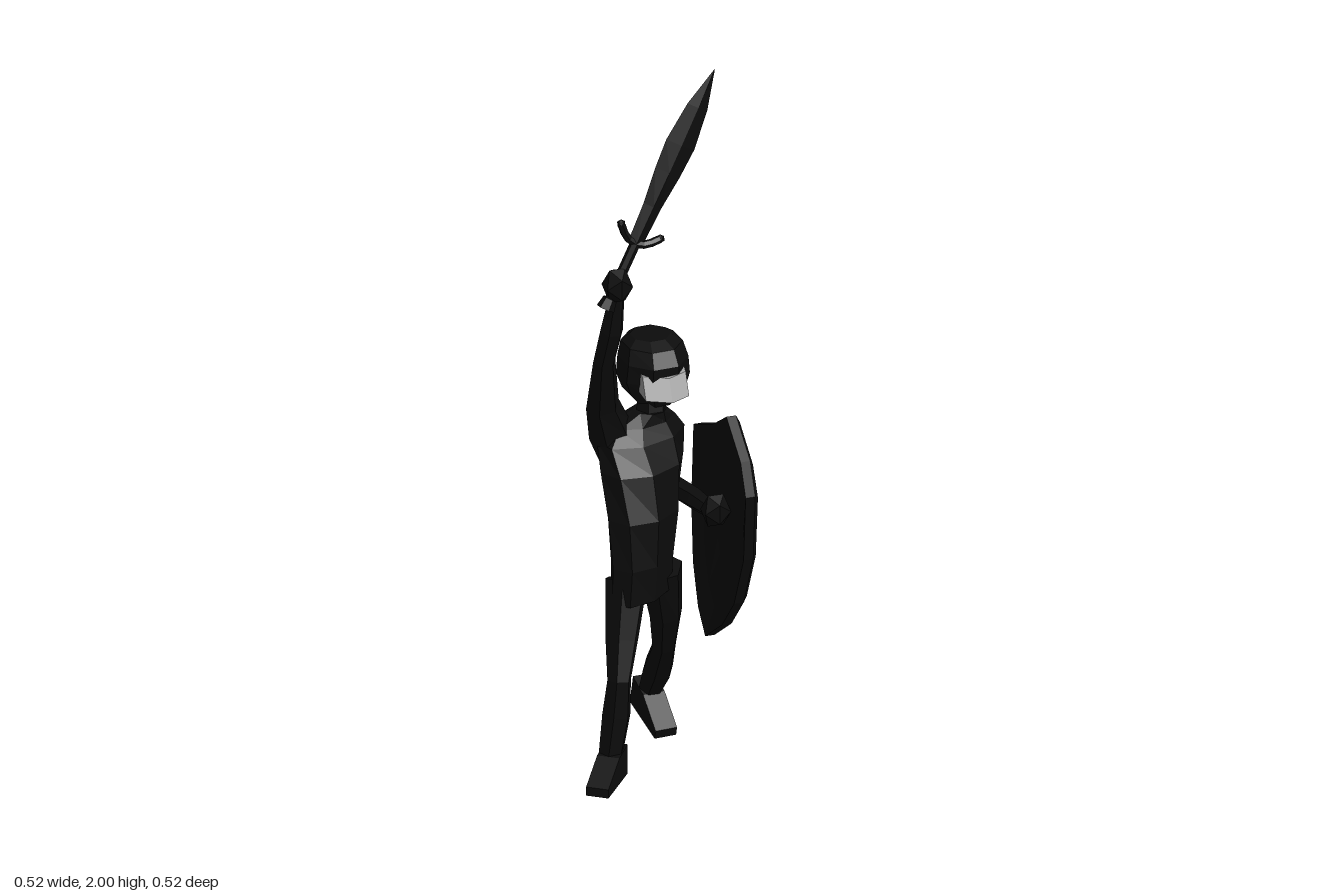
import * as THREE from 'three';

const V = (x, y, z) => new THREE.Vector3(x, y, z);
const dark = new THREE.MeshStandardMaterial({ color: 0x0c0c0c, flatShading: true });
const grey = new THREE.MeshStandardMaterial({ color: 0xa0a0a0, flatShading: true });

function part(name, geometry, material = dark) {
  const m = new THREE.Mesh(geometry, material);
  m.name = name;
  return m;
}

// Closed skin through a stack of rings, with both ends capped
function loft(rings) {
  const n = rings[0].length;
  const hub = (r) => {
    const c = r.reduce((s, p) => s.add(p), V(0, 0, 0)).divideScalar(n);
    return r.map(() => c);
  };
  const all = [hub(rings[0]), ...rings, hub(rings[rings.length - 1])];
  const pts = [];
  for (let k = 0; k < all.length - 1; k++) {
    for (let i = 0; i < n; i++) {
      const j = (i + 1) % n;
      const a = all[k][i], b = all[k][j], c = all[k + 1][j], d = all[k + 1][i];
      if (k < all.length - 2) pts.push(a, d, c);
      if (k > 0) pts.push(a, c, b);
      if (k === all.length - 2) pts.push(a, d, b);
    }
  }
  const g = new THREE.BufferGeometry().setFromPoints(pts);
  g.computeVertexNormals();
  return g;
}

// Horizontal elliptical ring, turned by yaw
function ring(cx, cy, cz, a, b, yaw = 0, n = 8, offset = Math.PI / 8) {
  return Array.from({ length: n }, (_, i) => {
    const t = (i / n) * Math.PI * 2 + offset;
    const u = a * Math.cos(t), w = b * Math.sin(t);
    return V(cx + u * Math.cos(yaw) + w * Math.sin(yaw), cy, cz - u * Math.sin(yaw) + w * Math.cos(yaw));
  });
}

// Limb through stations [x, y, z, radius], listed from the far end to the body
function limb(stations, n = 6) {
  const c = stations.map((s) => V(s[0], s[1], s[2]));
  return loft(stations.map((s, k) => {
    const dir = c[Math.min(k + 1, c.length - 1)].clone().sub(c[Math.max(k - 1, 0)]).normalize();
    const q = new THREE.Quaternion().setFromUnitVectors(V(0, 1, 0), dir);
    return ring(0, 0, 0, s[3], s[3], 0, n, 0).map((p) => p.applyQuaternion(q).add(c[k]));
  }));
}

function foot(name, heel, yaw, pitch) {
  const s = new THREE.Shape([[0, 0], [0.165, 0], [0.165, 0.025], [0.07, 0.075], [0, 0.085]]
    .map(([x, y]) => new THREE.Vector2(x, y)));
  const g = new THREE.ExtrudeGeometry(s, { depth: 0.062, bevelEnabled: false }).translate(0, 0, -0.031);
  const m = part(name, g);
  m.position.set(...heel);
  m.rotation.set(0, yaw, pitch);
  return m;
}

function fist(name, x, y, z, sx, sy, sz) {
  const m = part(name, new THREE.IcosahedronGeometry(1, 0));
  m.position.set(x, y, z);
  m.scale.set(sx, sy, sz);
  return m;
}

function createSword() {
  const sword = new THREE.Group();
  sword.name = 'sword';
  // Leaf-shaped blade with a diamond section
  const blade = [[0.19, 0.022, 0.01], [0.3, 0.027, 0.011], [0.4, 0.039, 0.012], [0.48, 0.044, 0.011],
    [0.59, 0.031, 0.008], [0.7, 0.001, 0.001]];
  sword.add(part('blade', loft(blade.map(([y, a, b]) => ring(0, y, 0, a, b, 0, 4, 0)))));
  const curve = new THREE.QuadraticBezierCurve3(V(-0.06, 0.225, 0), V(0, 0.155, 0), V(0.06, 0.225, 0));
  sword.add(part('guard', new THREE.TubeGeometry(curve, 6, 0.011, 6, false)));
  for (const [x, s] of [[-0.06, -1], [0.06, 1]]) {
    const tip = part('guardTip', new THREE.IcosahedronGeometry(0.012, 0));
    tip.position.set(x + s * 0.002, 0.227, 0);
    sword.add(tip);
  }
  sword.add(part('grip', new THREE.CylinderGeometry(0.014, 0.014, 0.18, 6).translate(0, 0.1, 0)));
  sword.add(part('pommel', new THREE.CylinderGeometry(0.019, 0.025, 0.03, 6).translate(0, 0.015, 0)));
  // Aim from pommel to tip
  const base = V(-0.18, 1.39, 0.155), tip = V(0.155, 2, 0.075);
  sword.position.copy(base);
  sword.quaternion.setFromUnitVectors(V(0, 1, 0), tip.sub(base).normalize());
  return sword;
}

function createShield() {
  // Outline as [z, y], from the bottom point round by the front
  const outline = [[-0.01, 0.31], [0.08, 0.38], [0.15, 0.47], [0.205, 0.62], [0.225, 0.81], [0.13, 0.87],
    [0.01, 0.95], [-0.1, 0.88], [-0.2, 0.84], [-0.205, 0.62], [-0.16, 0.46], [-0.09, 0.36]];
  // Shell domed in both directions
  const layer = (scale, depth) => outline.map(([z, y]) => {
    const pz = 0.01 + (z - 0.01) * scale, py = 0.65 + (y - 0.65) * scale;
    return V(0.26 - depth - 0.7 * pz * pz - 0.34 * (py - 0.75) ** 2, py, pz);
  });
  const shell = loft([layer(0.4, 0.035), layer(0.75, 0.035), layer(1, 0.035), layer(1, 0.008),
    layer(0.93, 0), layer(0.6, 0), layer(0.3, 0)]);
  return part('shield', shell);
}

export function createModel() {
  const model = new THREE.Group();
  model.name = 'swordsman';

  // Twisted torso: [x, y, z, half width, half depth, yaw]
  const torso = [[-0.04, 0.5, 0.045, 0.125, 0.07, 0.75], [-0.038, 0.6, 0.045, 0.12, 0.075, 0.75],
    [-0.03, 0.73, 0.03, 0.125, 0.088, 0.65], [-0.02, 0.85, -0.005, 0.135, 0.093, 0.5],
    [-0.015, 0.92, -0.03, 0.135, 0.08, 0.35], [-0.01, 0.96, -0.035, 0.1, 0.06, 0.3],
    [0.012, 0.99, -0.03, 0.045, 0.045, 0.2]];
  model.add(part('torso', loft(torso.map((r) => ring(...r)))));
  model.add(part('neck', limb([[0.012, 0.95, -0.025, 0.042], [0.02, 1.05, -0.04, 0.04]])));

  // Helmet and its visor band
  const helmet = [[1.005, -0.055, 0.055, 0.062], [1.035, -0.06, 0.083, 0.088], [1.075, -0.065, 0.098, 0.096],
    [1.125, -0.065, 0.093, 0.1], [1.165, -0.075, 0.082, 0.086], [1.18, -0.085, 0.055, 0.055]];
  model.add(part('helmet', loft(helmet.map(([y, z, a, b]) => ring(0.032, y, z, a, b, 0.05)))));
  const band = [[0.1, 1.055, 0.005], [0.094, 1.045, 0.046], [0.043, 1.038, 0.06],
    [-0.025, 1.045, 0.04], [-0.03, 1.055, 0]];
  model.add(part('visor', loft([0, 1].map((k) => band.map(([x, y, z]) => V(x, y + 0.06 * k, z - 0.027 * k)))), grey));

  // Raised sword arm
  model.add(part('rightArm', limb([[-0.07, 0.88, -0.03, 0.065], [-0.105, 0.95, -0.025, 0.06],
    [-0.135, 1.04, 0.005, 0.046], [-0.155, 1.2, 0.075, 0.031], [-0.145, 1.3, 0.105, 0.032],
    [-0.14, 1.41, 0.13, 0.022]])));
  model.add(fist('rightHand', -0.145, 1.45, 0.15, 0.042, 0.055, 0.045));

  // Bent shield arm
  model.add(part('leftArm', limb([[0.185, 0.67, 0, 0.022], [0.165, 0.67, -0.1, 0.03], [0.135, 0.67, -0.215, 0.032],
    [0.122, 0.72, -0.225, 0.034], [0.095, 0.82, -0.16, 0.034], [0.07, 0.9, -0.09, 0.048], [0.035, 0.93, -0.05, 0.05]])));
  model.add(fist('leftHand', 0.183, 0.68, 0.005, 0.042, 0.052, 0.04));

  // Striding legs
  model.add(part('rightLeg', limb([[-0.163, 0.06, 0.14, 0.033], [-0.145, 0.2, 0.143, 0.04], [-0.14, 0.3, 0.15, 0.033],
    [-0.12, 0.4, 0.115, 0.046], [-0.09, 0.55, 0.07, 0.06]])));
  model.add(part('leftLeg', limb([[0.065, 0.08, -0.195, 0.03], [0.062, 0.19, -0.11, 0.042], [0.055, 0.29, -0.04, 0.033],
    [0.045, 0.4, 0, 0.045], [0.02, 0.55, 0.03, 0.06]])));
  model.add(foot('rightFoot', [-0.135, 0.015, 0.115], Math.atan2(-0.13, -0.1), 0));
  model.add(foot('leftFoot', [0.058, 0.043, -0.235], -1.49, -0.25));

  model.add(createSword(), createShield());
  return model;
}
